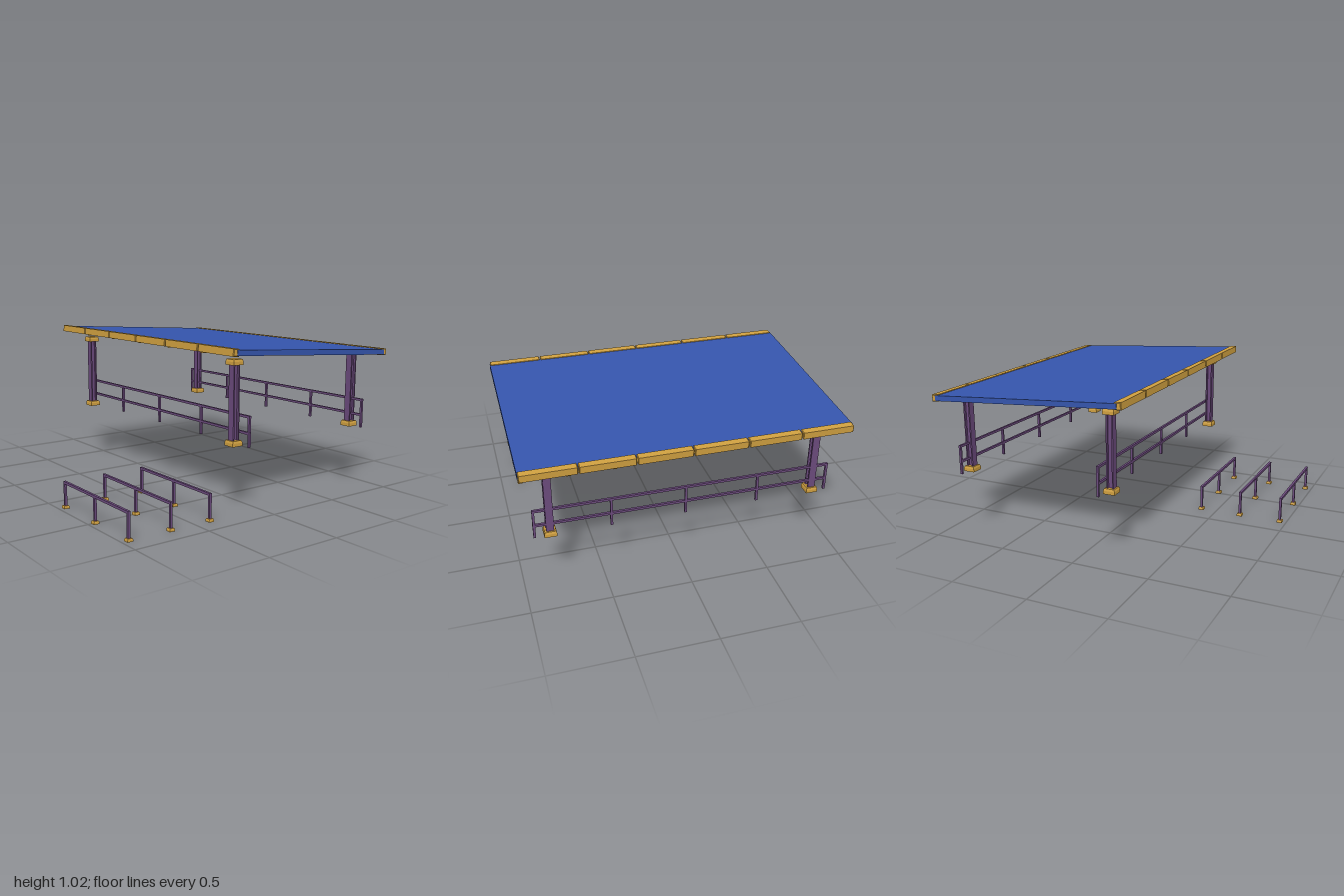
import * as THREE from 'three';

const blue = new THREE.MeshStandardMaterial({ color: 0x3555ad });
blue.name = 'roof blue';
const gold = new THREE.MeshStandardMaterial({ color: 0xd0a040 });
gold.name = 'trim gold';
const purple = new THREE.MeshStandardMaterial({ color: 0x6b4a7c });
purple.name = 'frame purple';

function add(parent, name, geometry, material, x, y, z) {
  const mesh = new THREE.Mesh(geometry, material);
  mesh.name = name;
  mesh.position.set(x, y, z);
  parent.add(mesh);
  return mesh;
}

const box = (parent, name, mat, w, h, d, x, y, z) =>
  add(parent, name, new THREE.BoxGeometry(w, h, d), mat, x, y, z);

// Square block whose upper part tapers inwards
function footGeometry(width, height, taper) {
  const bottom = width / Math.SQRT2;
  const top = bottom * taper;
  const profile = [[0, 0], [bottom, 0], [bottom, height * 0.6], [top, height], [0, height]]
    .map(([r, y]) => new THREE.Vector2(r, y));
  const g = new THREE.LatheGeometry(profile, 4, Math.PI / 4).toNonIndexed();
  g.computeVertexNormals();
  return g;
}

// Upright steel section with flanges facing the sides
function columnGeometry(size, flange, web, height) {
  const s = size / 2, f = s - flange, w = web / 2;
  const shape = new THREE.Shape([
    [-s, -s], [-f, -s], [-f, -w], [f, -w], [f, -s], [s, -s],
    [s, s], [f, s], [f, w], [-f, w], [-f, s], [-s, s],
  ].map(([x, y]) => new THREE.Vector2(x, y)));
  return new THREE.ExtrudeGeometry(shape, { depth: height, bevelEnabled: false }).rotateX(-Math.PI / 2);
}

// Edge beam segment with slightly bevelled corners, running along z
function trimGeometry(width, length) {
  const b = 0.004, s = width / 2 - b;
  const shape = new THREE.Shape([[-s, -s], [s, -s], [s, s], [-s, s]].map(([x, y]) => new THREE.Vector2(x, y)));
  return new THREE.ExtrudeGeometry(shape, {
    depth: length - 2 * b, bevelSize: b, bevelThickness: b, bevelSegments: 1,
  }).translate(0, 0, -(length - 2 * b) / 2);
}

function addRoof(model) {
  const roof = new THREE.Group();
  roof.name = 'roof';
  roof.position.set(0.317, 0.96, 0);
  roof.rotation.z = -0.0637;
  model.add(roof);
  box(roof, 'roofPanel', blue, 1.25, 0.034, 2, 0, 0, 0);

  // Rafters under the panel joints
  for (let i = -2; i <= 2; i++) {
    box(roof, 'rafter', gold, 1.25, 0.014, 0.012, 0, -0.023, i / 3);
  }

  // Segmented beams along both long edges
  const trim = trimGeometry(0.044, 0.327);
  for (const side of [-1, 1]) {
    for (let i = 0; i < 6; i++) {
      add(roof, 'edgeBeam', trim, gold, side * 0.63, 0, (i - 2.5) / 3);
    }
  }
}

function addColumns(model) {
  const foot = footGeometry(0.075, 0.034, 0.88);
  const shaft = columnGeometry(0.046, 0.009, 0.018, 0.518);
  for (const x of [-0.185, 0.822]) {
    for (const z of [-0.83, 0.83]) {
      const column = new THREE.Group();
      column.name = 'column';
      column.position.set(x, 0.42, z);
      model.add(column);
      add(column, 'columnShaft', shaft, purple, 0, 0.001, 0);
      add(column, 'columnFoot', foot, gold, 0, 0, 0);
      // The low-side caps sit inside the roof
      if (x < 0) add(column, 'columnCap', foot, gold, 0, 0.487, 0);
    }
  }
}

function addRailing(model, x) {
  const railing = new THREE.Group();
  railing.name = 'railing';
  railing.position.x = x;
  model.add(railing);
  for (const y of [0.503, 0.603]) box(railing, 'rail', purple, 0.015, 0.015, 1.86, 0, y, 0);
  for (let i = -2; i <= 2; i++) {
    box(railing, 'railingPost', purple, 0.0145, 0.185, 0.0145, 0, 0.5125, i * 0.461);
  }
}

function addBikeRack(model, x) {
  const rack = new THREE.Group();
  rack.name = 'bikeRack';
  rack.position.set(x, 0, 0.51);
  model.add(rack);
  box(rack, 'rackBar', purple, 0.016, 0.016, 0.735, 0, 0.165, 0);
  const foot = footGeometry(0.036, 0.018, 0.8);
  for (const z of [-0.36, 0, 0.36]) {
    box(rack, 'rackPost', purple, 0.0155, 0.16, 0.0155, 0, 0.09, z);
    add(rack, 'rackFoot', foot, gold, 0, 0, z);
  }
}

export function createModel() {
  const model = new THREE.Group();
  model.name = 'bikeShelter';
  addRoof(model);
  addColumns(model);
  for (const x of [-0.143, 0.835]) addRailing(model, x);
  for (const x of [-0.957, -0.675, -0.393]) addBikeRack(model, x);
  return model;
}
